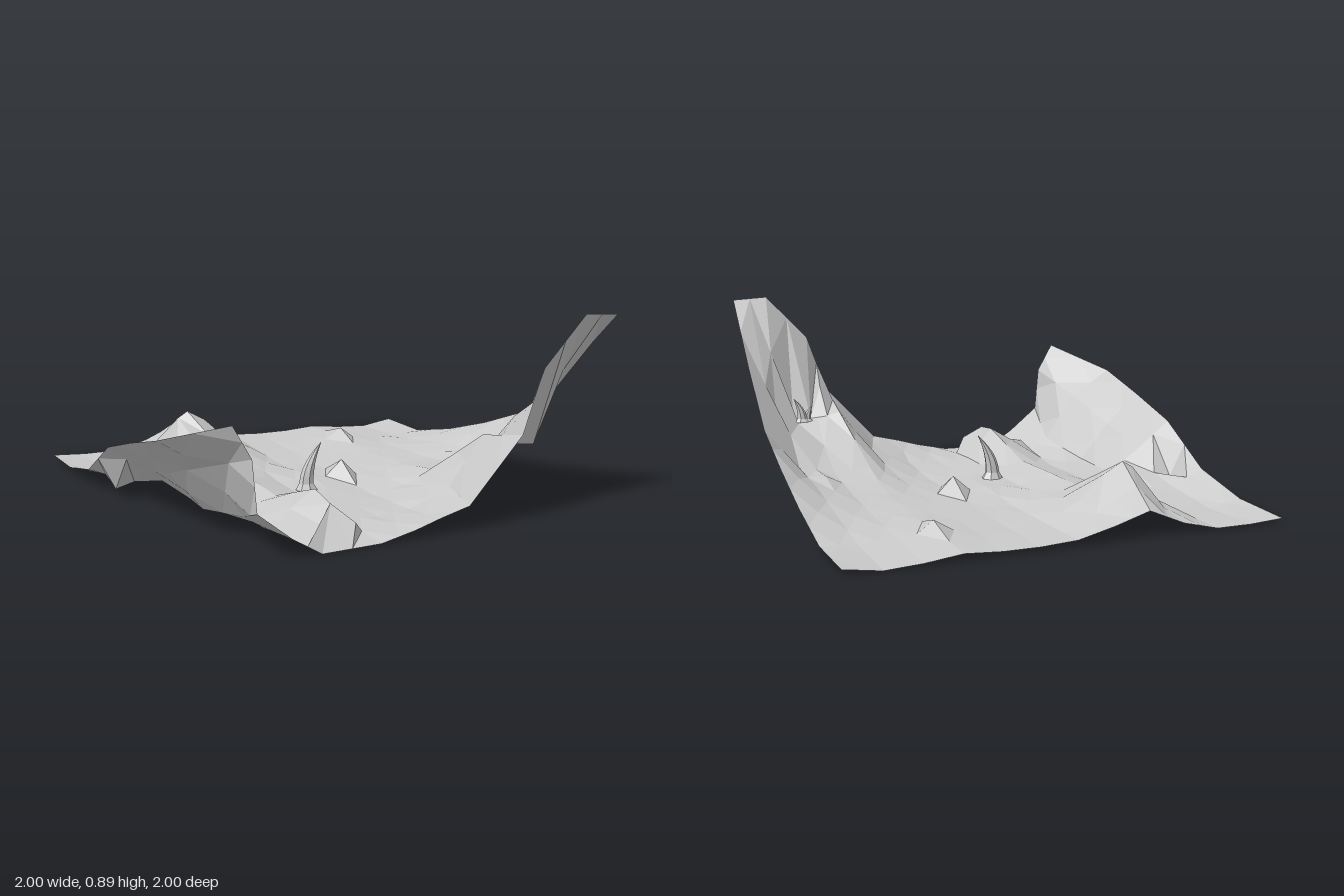
import * as THREE from 'three';

const material = new THREE.MeshStandardMaterial({ color: 0xcccccc, flatShading: true, side: THREE.DoubleSide });

// Coarse heights: one row per z from back to front, one column per x from right to left
const heights = [
  [.02, .01, .01, .05, .12, .07, .03, .02, .02, .03, .01, 0, .025],
  [.03, 0, .01, .10, .26, .10, .02, .01, .02, .04, .02, .01, .025],
  [.10, .03, .03, .05, .075, .05, .01, .01, .02, .03, .03, .05, .10],
  [.28, .15, .04, .03, .07, .02, .03, .01, .02, .04, .05, .10, .20],
  [.37, .22, .04, .02, .06, .02, .01, 0, .03, .09, .09, .12, .32],
  [.45, .32, .09, .03, .17, .02, .01, .02, .10, .32, .28, .38, .58],
  [.56, .42, .20, .08, 0, .005, .04, .075, .11, .39, .67, .89, .88],
];
// The front rim is pulled in at its right corner and bunched at the cliffs
const frontX = [-.81, -.73, -.71, -.56, -.43, -.16, 0, .12, .26, .52, .62, .83, 1];
// Sideways shifts of single coarse points, keyed by row,column
const shiftedX = { '1,4': -.38, '2,2': -.63, '4,2': -.68, '4,9': .48, '5,1': -.79, '5,2': -.63, '5,3': -.54, '5,4': -.3, '5,8': .37, '5,9': .54 };

function coarsePoint(r, c) {
  const x = r === 6 ? frontX[c] : shiftedX[r + ',' + c] ?? -1 + c / 6;
  return new THREE.Vector3(x, heights[r][c], -1 + r / 3);
}

// Points placed singly on the fine grid: column, row, x, y, z
const details = [
  // Bumps on the valley floor and slopes
  [14, 6, .17, .095, 0], [18, 2, .51, .085, -.667], [21, 7, .75, .11, .17],
  // Pocket under the right-hand rim
  [1, 5, -.92, .035, -.167], [2, 5, -.83, .06, -.167],
  // Shoulders of the rear hill
  [7, 2, -.43, .23, -.667], [9, 2, -.29, .21, -.667],
  [6, 3, -.5, .10, -.5], [7, 3, -.42, .165, -.5], [8, 3, -.33, .165, -.5],
  // Steep end of the mound by the front rim
  [7, 11, -.37, .075, .915], [8, 11, -.31, .15, .83], [9, 11, -.235, .08, .915],
  // Level ledge under the high peak
  [19, 10, .6, .30, .68], [20, 10, .65, .28, .67], [21, 10, .75, .27, .68], [22, 10, .87, .38, .667],
  [19, 11, .6, .43, .82], [20, 11, .67, .28, .75], [21, 11, .76, .273, .75], [22, 11, .85, .62, .83],
];

function buildTerrain() {
  const columns = 25, rows = 13, points = [], index = [];
  for (let j = 0; j < rows; j++) {
    for (let i = 0; i < columns; i++) {
      const r = Math.min(j >> 1, 5), c = Math.min(i >> 1, 11);
      const u = i / 2 - c, v = j / 2 - r;
      const back = coarsePoint(r, c).lerp(coarsePoint(r, c + 1), u);
      const front = coarsePoint(r + 1, c).lerp(coarsePoint(r + 1, c + 1), u);
      points.push(back.lerp(front, v));
    }
  }
  for (const [i, j, x, y, z] of details) points[j * columns + i].set(x, y, z);
  for (let j = 0; j < rows - 1; j++) {
    for (let i = 0; i < columns - 1; i++) {
      const a = j * columns + i, b = a + 1, d = a + columns, e = d + 1;
      // Alternate the diagonals so that bumps become four-sided kites
      if ((i + j) % 2) index.push(a, d, e, a, e, b);
      else index.push(a, d, b, b, d, e);
    }
  }
  const geometry = new THREE.BufferGeometry().setFromPoints(points);
  geometry.setIndex(index);
  geometry.computeVertexNormals();
  const mesh = new THREE.Mesh(geometry, material);
  mesh.name = 'terrain';
  return mesh;
}

// Tapered horn with a flared foot, bending towards +x
function buildHorn(name, height, radius, bend) {
  const geometry = new THREE.CylinderGeometry(1, 1, height, 7, 7);
  geometry.translate(0, height / 2, 0);
  const p = geometry.attributes.position;
  for (let k = 0; k < p.count; k++) {
    const t = p.getY(k) / height;
    const size = radius * (t < .05 ? 1.5 : 1 - t * t * .97);
    p.setX(k, p.getX(k) * size + bend * (t * t * 1.3 - t * .3));
    p.setZ(k, p.getZ(k) * size * .85);
  }
  geometry.computeVertexNormals();
  const horn = new THREE.Mesh(geometry, material);
  horn.name = name;
  return horn;
}

export function createModel() {
  const group = new THREE.Group();
  group.name = 'valley';
  group.add(buildTerrain());

  // Lone horn in the valley floor
  const valleyHorn = buildHorn('valleyHorn', .22, .036, .075);
  valleyHorn.position.set(-.105, .022, .18);
  group.add(valleyHorn);

  // Pair of horns on the ledge
  const ledgeHorns = new THREE.Group();
  ledgeHorns.name = 'ledgeHorns';
  const tall = buildHorn('tallHorn', .12, .026, .04);
  const short = buildHorn('shortHorn', .08, .02, -.03);
  short.position.set(-.03, 0, .015);
  ledgeHorns.add(tall, short);
  ledgeHorns.position.set(.73, .277, .69);
  group.add(ledgeHorns);

  return group;
}
